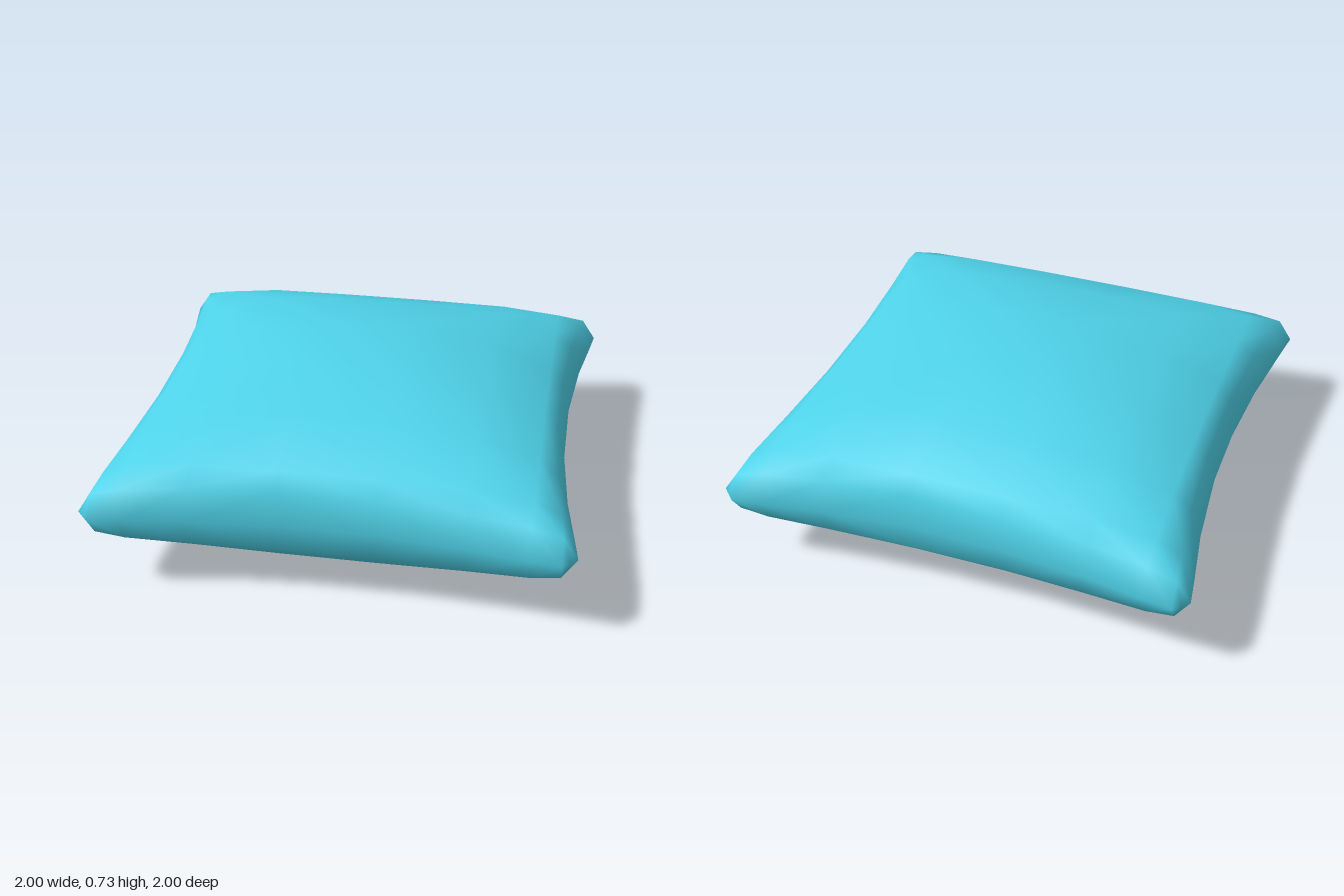
import * as THREE from 'three';
import { mergeVertices } from 'three/addons/utils/BufferGeometryUtils.js';

// Grid lines from the centre outwards; the last one is the seam
const LINES = [0.2, 0.56, 0.82, 0.94, 1];
// How far each line is pulled in at the middle of a side
const PINCH = [0, 0, 0.005, 0.065, 0.09];
// Half thickness of the cushion at each pair of lines
const PUFF = [
  [0.365, 0.30, 0.20, 0.135, 0],
  [0.30, 0.275, 0.195, 0.13, 0],
  [0.20, 0.195, 0.165, 0.115, 0],
  [0.135, 0.13, 0.115, 0.09, 0],
  [0, 0, 0, 0, 0],
];
const MID = 0.365;
const N = LINES.length * 2;

// Column number to signed line: 0..9 runs from -1 to 1
const line = (i) => (i < 5 ? { k: 4 - i, s: -1 } : { k: i - 5, s: 1 });

function along(a, b) {
  if (a.k === 4 && b.k === 4) return a.s * 0.97; // blunted corner
  const flare = THREE.MathUtils.clamp((LINES[b.k] - 0.36) / 0.57, 0, 1);
  return a.s * (LINES[a.k] - PINCH[a.k] * (1 - flare));
}

function cushionGeometry() {
  const pos = [], index = [];
  for (const side of [1, -1]) {
    const base = pos.length / 3;
    for (let i = 0; i < N; i++) {
      for (let j = 0; j < N; j++) {
        const a = line(i), b = line(j);
        pos.push(along(a, b), MID + side * PUFF[a.k][b.k], along(b, a));
      }
    }
    const tri = (p, q, r) => (side > 0 ? index.push(p, q, r) : index.push(p, r, q));
    for (let i = 0; i < N - 1; i++) {
      for (let j = 0; j < N - 1; j++) {
        const p = base + i * N + j, q = p + 1, r = p + N + 1, t = p + N;
        // Diagonals run from the centre towards the corners
        if ((i - 4) * (j - 4) >= 0) { tri(p, q, r); tri(p, r, t); }
        else { tri(p, q, t); tri(q, r, t); }
      }
    }
  }
  const raw = new THREE.BufferGeometry();
  raw.setAttribute('position', new THREE.Float32BufferAttribute(pos, 3));
  raw.setIndex(index);
  // Weld the two halves at the seam so the shading runs smoothly round it
  const geometry = mergeVertices(raw, 1e-4);
  geometry.computeVertexNormals();
  return geometry;
}

export function createModel() {
  const group = new THREE.Group();
  group.name = 'pillow';
  const cushion = new THREE.Mesh(
    cushionGeometry(),
    new THREE.MeshStandardMaterial({ color: 0x4fd3ea })
  );
  cushion.name = 'cushion';
  group.add(cushion);
  return group;
}
